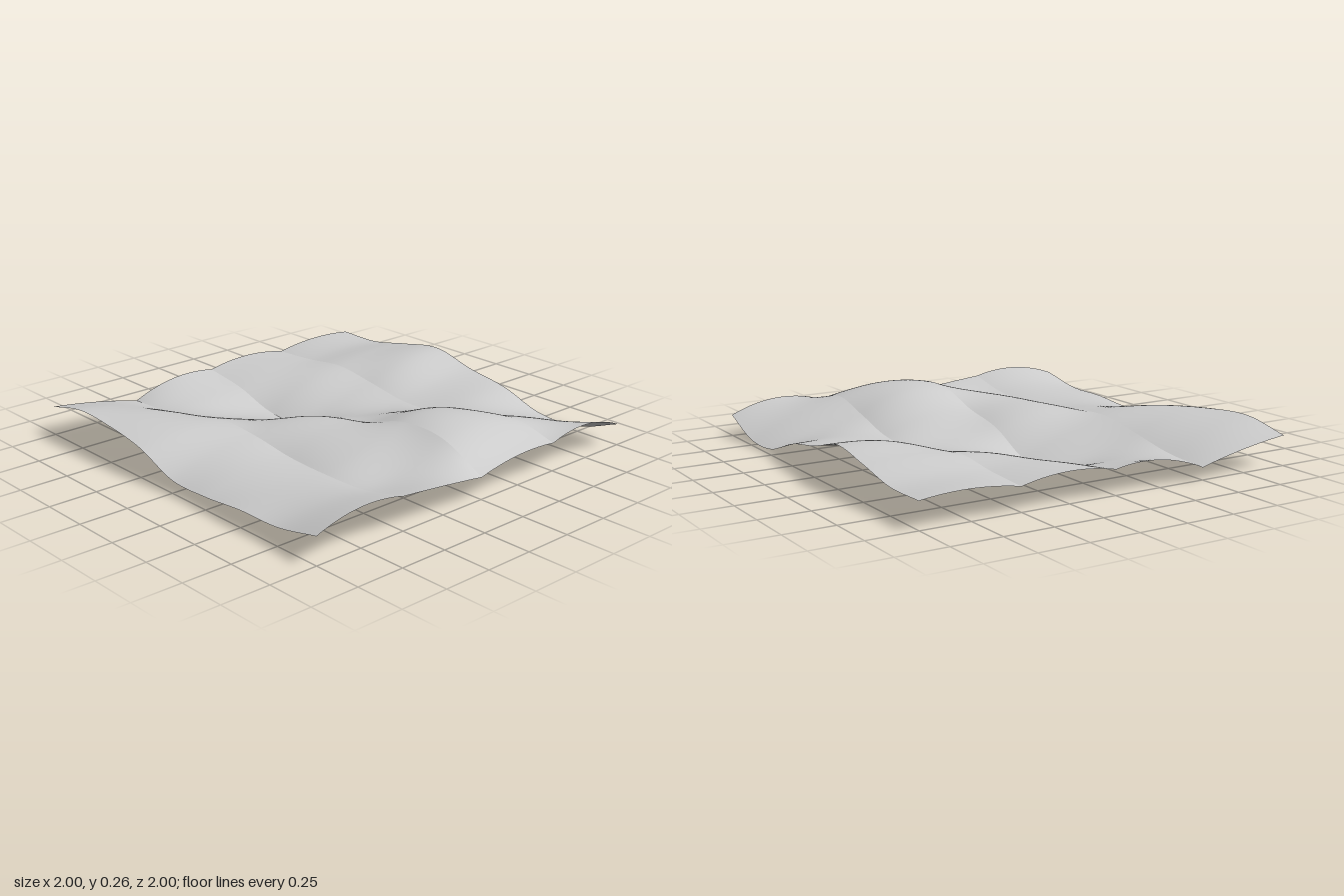
import * as THREE from 'three';

// Wave heights: one profile across x for every quarter unit of z, back to front
const profiles = [
  [.127, .127, .172, .207, .15, .108, .03, .028, .11],
  [.142, .143, .182, .195, .122, .106, .088, .13, .175],
  [.115, .128, .152, .118, .08, .09, .15, .2, .143],
  [.147, .138, .115, .07, .085, .16, .247, .25, .15],
  [.12, .082, .011, .011, .115, .165, .235, .225, .11],
  [.13, .08, .05, .1, .18, .193, .18, .135, .14],
  [.06, .075, .12, .162, .15, .117, .108, .115, .165],
  [.115, .16, .19, .187, .137, .113, .112, .135, .19],
  [.15, .199, .188, .15, .065, .063, .083, .088, .135],
];

// Smooth curve through one profile
function along(p, x) {
  const u = (x + 1) * 4;
  const i = Math.min(7, Math.max(0, Math.floor(u)));
  const t = u - i;
  const b = p[i], c = p[i + 1];
  const a = i > 0 ? p[i - 1] : 2 * b - c;
  const d = i < 7 ? p[i + 2] : 2 * c - b;
  return b + 0.5 * t * (c - a + t * (2 * a - 5 * b + 4 * c - d + t * (3 * (b - c) + d - a)));
}

// Parabolic arch over each half-unit strip, which leaves creases between strips
function height(strip, x, t) {
  const [a, m, b] = [0, 1, 2].map((k) => along(profiles[strip * 2 + k], x));
  return a * (1 - t) * (1 - 2 * t) + m * 4 * t * (1 - t) + b * t * (2 * t - 1);
}

export function createModel() {
  const group = new THREE.Group();
  group.name = 'wavySurface';
  const grey = new THREE.MeshStandardMaterial({ color: 0xcccccc, side: THREE.DoubleSide });
  grey.name = 'lightGrey';

  // Four strips side by side, each smooth within itself
  for (let strip = 0; strip < 4; strip++) {
    const z0 = -1 + strip * 0.5;
    const geometry = new THREE.PlaneGeometry(2, 0.5, 96, 24);
    geometry.rotateX(-Math.PI / 2).translate(0, 0, z0 + 0.25);
    const pos = geometry.attributes.position;
    for (let i = 0; i < pos.count; i++) {
      pos.setY(i, Math.max(0, height(strip, pos.getX(i), (pos.getZ(i) - z0) * 2)));
    }
    geometry.computeVertexNormals();
    const mesh = new THREE.Mesh(geometry, grey);
    mesh.name = 'waveStrip' + (strip + 1);
    group.add(mesh);
  }
  return group;
}
